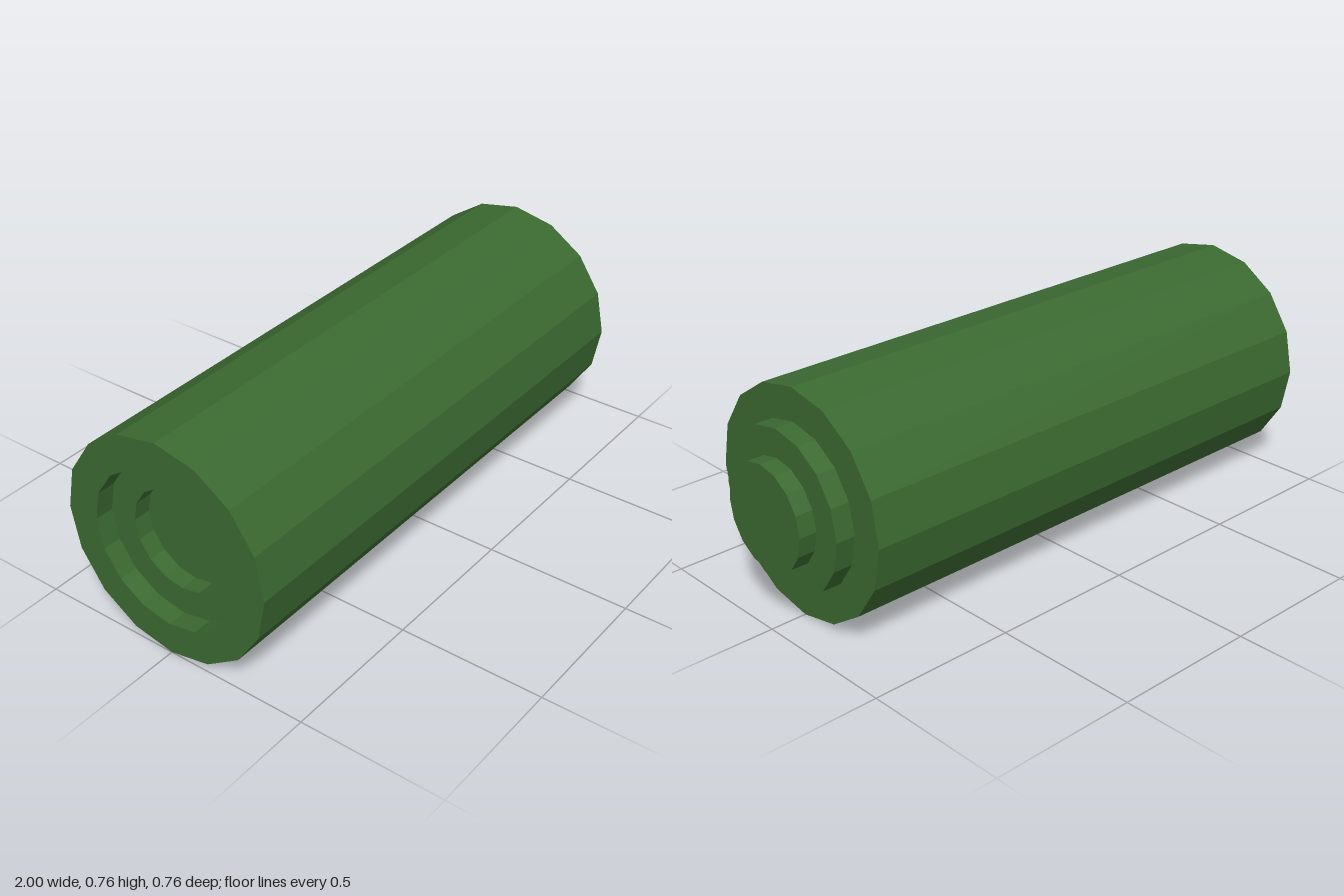
import * as THREE from 'three';

const SIDES = 16;
const RADIUS = 0.381;

export function createModel() {
  const model = new THREE.Group();
  model.name = 'steppedCylinder';
  const green = new THREE.MeshStandardMaterial({ color: 0x3b6a31, flatShading: true });

  // Each part is a profile of [radius, position along x], turned about the long axis.
  function turned(name, profile) {
    const points = profile.map(([r, x]) => new THREE.Vector2(r, x));
    const geometry = new THREE.LatheGeometry(points, SIDES);
    geometry.rotateZ(-Math.PI / 2);
    const mesh = new THREE.Mesh(geometry, green);
    mesh.name = name;
    mesh.position.y = RADIUS;
    model.add(mesh);
  }

  // Two-step socket sunk into the right end
  turned('socket', [[0, -0.875], [0.175, -0.875], [0.175, -0.935], [0.27, -0.935], [0.27, -1]]);
  // Main barrel with its two end rims
  turned('barrel', [[0.27, -1], [RADIUS, -1], [RADIUS, 0.875], [0.27, 0.875]]);
  // Two-step plug standing out of the left end
  turned('plug', [[0.27, 0.875], [0.27, 0.94], [0.175, 0.94], [0.175, 1], [0, 1]]);

  return model;
}
